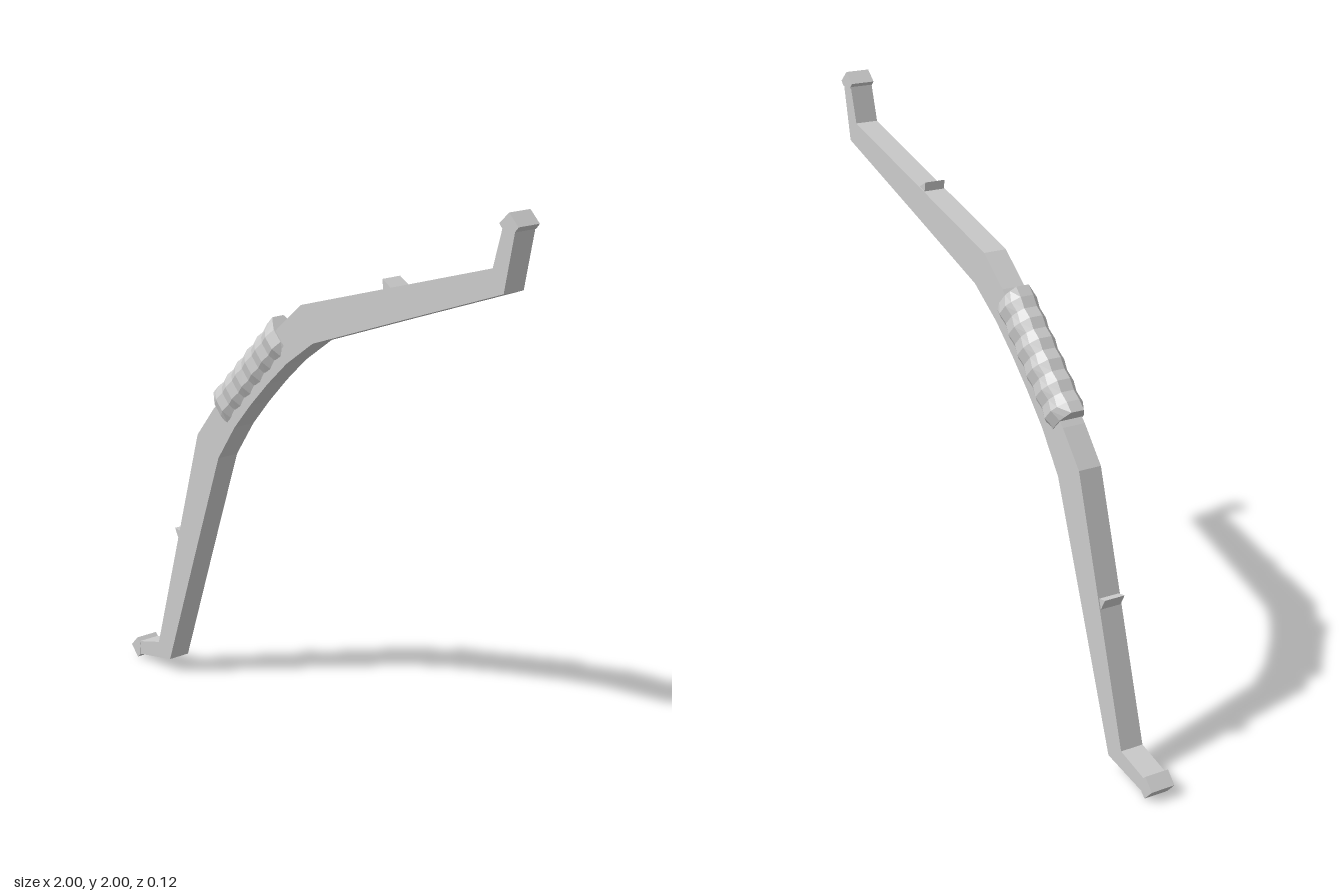
import * as THREE from 'three';

const material = new THREE.MeshStandardMaterial({ color: 0xcccccc, flatShading: true, side: THREE.DoubleSide });
const CENTRE_Y = 1;

// The bow is symmetric about the diagonal: (x, y) <-> (-y, -x), y measured from its centre.
const mirror = ([x, y]) => [-y, -x];

function slab(name, points, halfDepth) {
  const shape = new THREE.Shape(points.map(([x, y]) => new THREE.Vector2(x, y + CENTRE_Y)));
  const geometry = new THREE.ExtrudeGeometry(shape, { depth: 2 * halfDepth, bevelEnabled: false });
  geometry.translate(0, 0, -halfDepth);
  const mesh = new THREE.Mesh(geometry, material);
  mesh.name = name;
  return mesh;
}

// Grip wrap: ridged eight-sided tube lofted along local x, then turned to the diagonal.
function createGrip() {
  const bands = 6, stations = bands * 2 + 1, halfLength = 0.234;
  const positions = [], index = [];
  for (let i = 0; i < stations; i++) {
    const end = i === 0 || i === stations - 1;
    const ridge = i % 2 === 1;
    const w = end ? 0.046 : ridge ? 0.062 : 0.054;
    const top = ridge || end ? 0.453 : 0.446;
    const bottom = ridge || end ? 0.312 : 0.32;
    const x = -halfLength + (2 * halfLength * i) / (stations - 1);
    const section = [
      [top, 0.024], [0.428, w * 0.8], [0.405, w], [0.355, w], [bottom, 0.036],
      [bottom, -0.036], [0.355, -w], [0.405, -w], [0.428, -w * 0.8], [top, -0.024],
    ];
    section.forEach(([y, z]) => positions.push(x, y, z));
  }
  const n = 10;
  for (let i = 0; i < stations - 1; i++) {
    for (let j = 0; j < n; j++) {
      const a = i * n + j, b = i * n + ((j + 1) % n);
      index.push(a, b, a + n, b, b + n, a + n);
    }
  }
  const last = (stations - 1) * n;
  for (let j = 1; j < n - 1; j++) {
    index.push(0, j + 1, j, last, last + j, last + j + 1);
  }
  const geometry = new THREE.BufferGeometry();
  geometry.setAttribute('position', new THREE.Float32BufferAttribute(positions, 3));
  geometry.setIndex(index);
  geometry.computeVertexNormals();
  const grip = new THREE.Mesh(geometry, material);
  grip.name = 'grip';
  grip.rotation.z = Math.PI / 4;
  grip.position.y = CENTRE_Y;
  return grip;
}

export function createModel() {
  const bow = new THREE.Group();
  bow.name = 'bow';

  // Stave: upper half from the middle of the outer edge round to the inner edge
  const half = [
    [-0.1, 0.465], [0.015, 0.56], [0.895, 0.825], [0.935, 0.965],
    [0.985, 0.96], [0.943, 0.755], [0.5, 0.595], [0.075, 0.44], [-0.06, 0.345], [-0.16, 0.255],
  ];
  bow.add(slab('stave', [...half, ...half.map(mirror).reverse()], 0.042));

  // String nocks at the tips and small pegs on the outer edge of each limb
  const nock = [[0.935, 0.945], [0.919, 0.963], [0.958, 1.0], [0.998, 0.962], [0.983, 0.945]];
  const peg = [[0.415, 0.67], [0.408, 0.712], [0.452, 0.688], [0.45, 0.68]];
  for (const [side, map] of [['upper', (p) => p], ['lower', mirror]]) {
    bow.add(slab(side + 'Nock', nock.map(map), 0.044));
    bow.add(slab(side + 'Peg', peg.map(map), 0.038));
  }

  bow.add(createGrip());
  return bow;
}
